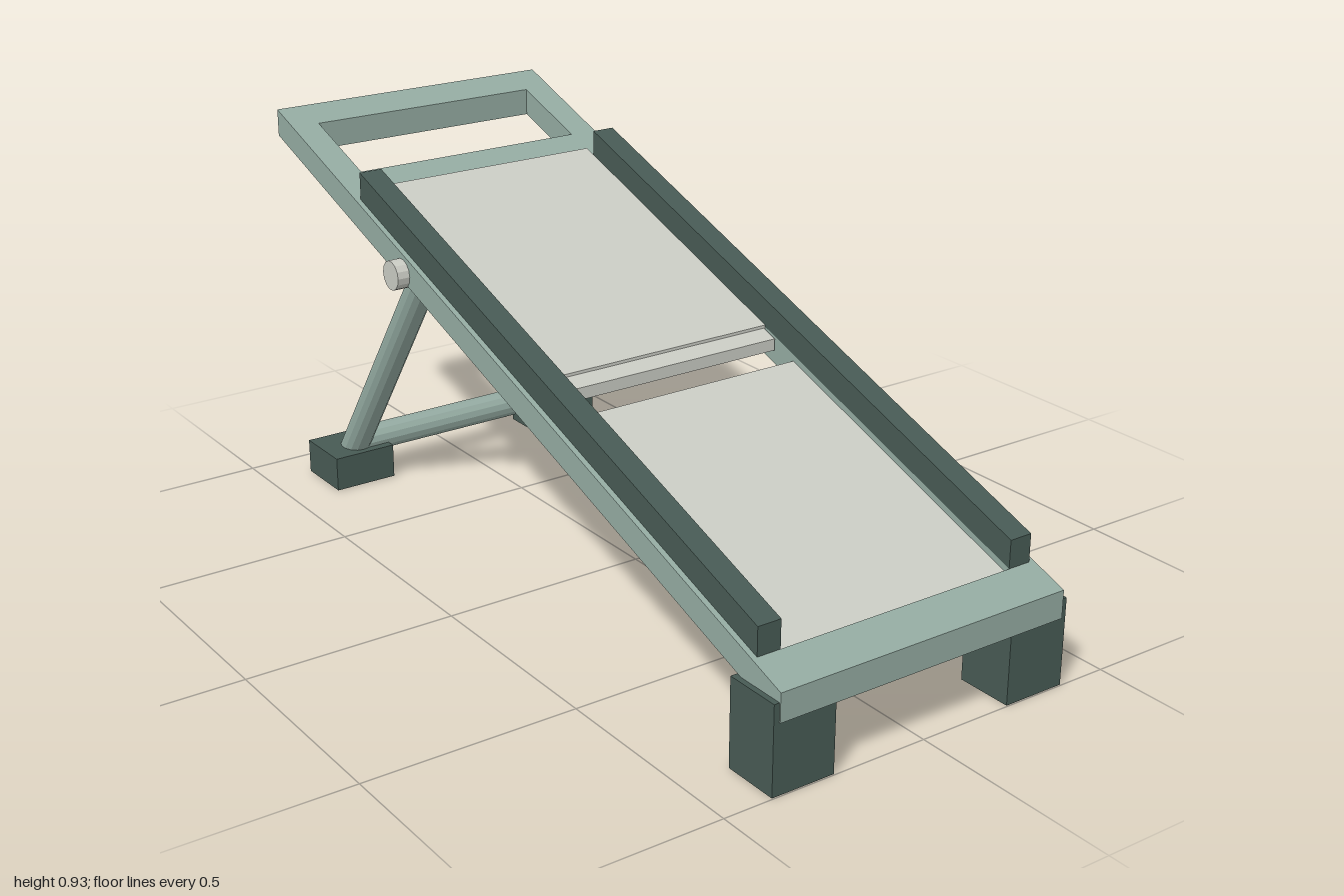
import * as THREE from 'three';

const SLOPE = 0.35; // rise of the ramp per unit towards the back
const MID = 0.575; // height of the frame's top surface at z = 0

const material = (color) => new THREE.MeshStandardMaterial({ color, flatShading: true });

export function createModel() {
  const model = new THREE.Group();
  const sage = material(0x93aaa1);
  const dark = material(0x475a54);
  const pale = material(0xc9cbc3);

  const add = (name, geometry, mat) => {
    const mesh = new THREE.Mesh(geometry, mat);
    mesh.name = name;
    model.add(mesh);
    return mesh;
  };

  // Shears a level part onto the ramp, keeping its ends vertical
  const tilt = (geometry) => {
    const g = geometry.index ? geometry.toNonIndexed() : geometry;
    const p = g.attributes.position;
    for (let i = 0; i < p.count; i++) p.setY(i, p.getY(i) + MID - SLOPE * p.getZ(i));
    g.computeVertexNormals();
    return g;
  };

  const block = (x0, x1, y0, y1, z0, z1) =>
    new THREE.BoxGeometry(x1 - x0, y1 - y0, z1 - z0)
      .translate((x0 + x1) / 2, (y0 + y1) / 2, (z0 + z1) / 2);

  // Round bar between two points
  const bar = (name, a, b, radius, mat) => {
    const from = new THREE.Vector3(...a), to = new THREE.Vector3(...b);
    const dir = to.clone().sub(from);
    const mesh = add(name, new THREE.CylinderGeometry(radius, radius, dir.length(), 14), mat);
    mesh.position.copy(from).add(to).multiplyScalar(0.5);
    mesh.quaternion.setFromUnitVectors(new THREE.Vector3(0, 1, 0), dir.normalize());
  };

  // Ramp frame with the panel opening and the handle slot
  const rect = (path, x, z0, z1) => {
    path.moveTo(-x, -z1);
    path.lineTo(x, -z1);
    path.lineTo(x, -z0);
    path.lineTo(-x, -z0);
    path.closePath();
    return path;
  };
  const outline = rect(new THREE.Shape(), 0.37, -1, 1);
  outline.holes.push(rect(new THREE.Path(), 0.3, -0.92, -0.71));
  outline.holes.push(rect(new THREE.Path(), 0.3, -0.64, 0.91));
  const frame = new THREE.ExtrudeGeometry(outline, { depth: 0.065, bevelEnabled: false });
  frame.rotateX(-Math.PI / 2).translate(0, -0.065, 0);
  add('frame', tilt(frame), sage);

  // Panels, with a lip along the front edge of the upper one
  add('upperPanel', tilt(block(-0.3, 0.3, -0.03, 0.004, -0.64, 0.09)), pale);
  add('panelLip', tilt(block(-0.297, 0.297, -0.031, -0.003, 0.09, 0.13)), pale);
  add('lowerPanel', tilt(block(-0.3, 0.3, -0.05, -0.015, 0.195, 0.91)), pale);

  // Axle and the bar joining the rear legs
  bar('axle', [-0.4, 0.667, -0.4], [0.4, 0.667, -0.4], 0.035, pale);
  bar('legCrossbar', [-0.3, 0.095, -0.805], [0.3, 0.095, -0.805], 0.035, sage);

  // Paired parts
  for (const [side, s] of [['left', 1], ['right', -1]]) {
    const pair = (a, b) => (s > 0 ? [a, b] : [-b, -a]);
    add(side + 'SideRail', tilt(block(...pair(0.3, 0.357), 0, 0.065, -0.61, 0.91)), dark);
    add(side + 'FrontFoot', block(...pair(0.23, 0.383), 0, 0.203, 0.862, 0.997), dark);
    add(side + 'RearFoot', block(...pair(0.225, 0.385), 0, 0.085, -0.9, -0.75), dark);
    bar(side + 'RearLeg', [s * 0.3, 0.667, -0.4], [s * 0.3, 0.07, -0.82], 0.035, sage);
  }
  return model;
}
